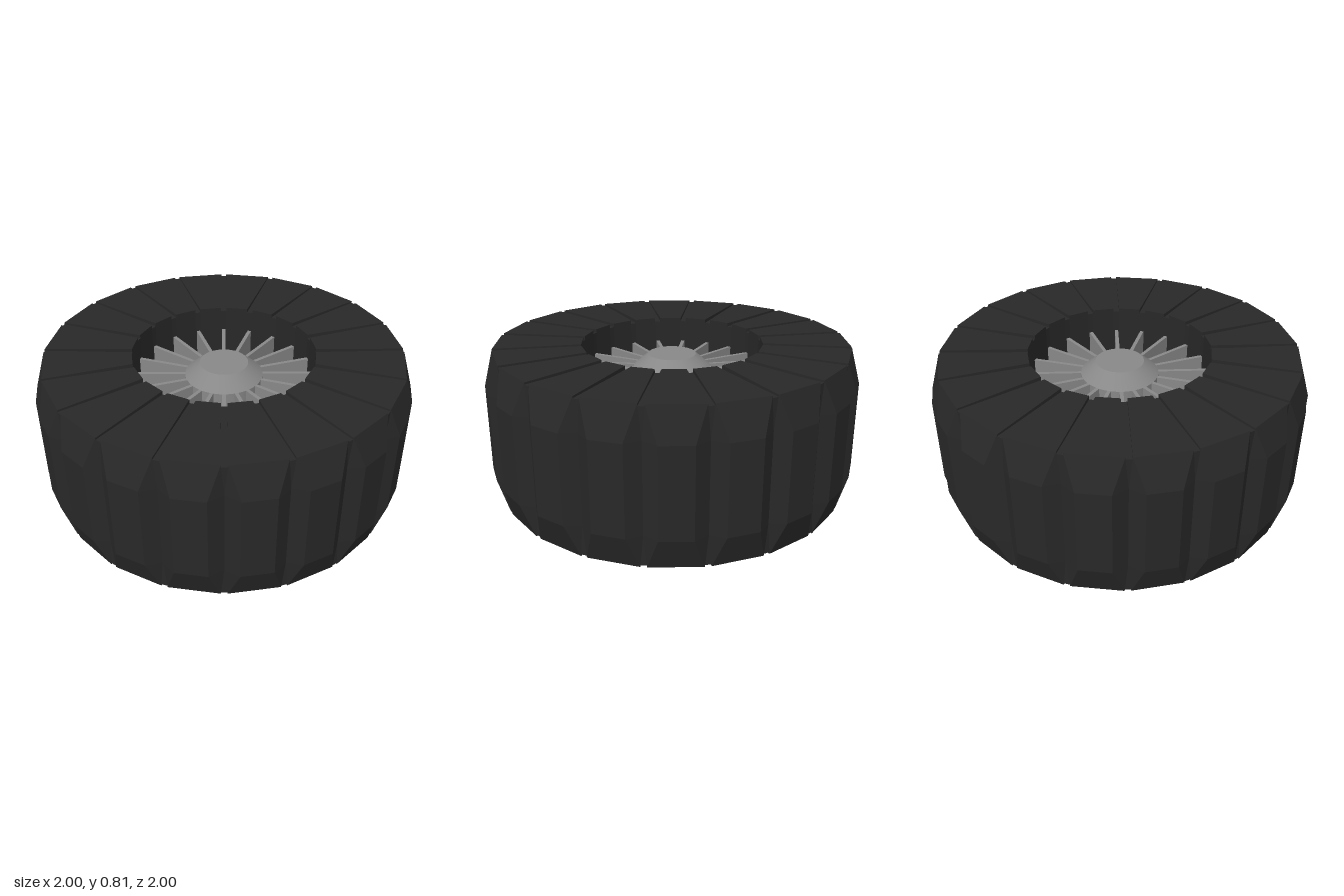
import * as THREE from 'three';
import { toCreasedNormals } from 'three/addons/utils/BufferGeometryUtils.js';

const COUNT = 20, STEP = (Math.PI * 2) / COUNT, H = 0.81;
const INNER = 0.49, RIM = 0.955, SHOULDER = 0.17;

// Point at radius r on the ray of angle a, shifted sideways by o
const polar = (a, r, o, y) => new THREE.Vector3(
  r * Math.sin(a) + o * Math.cos(a), y, r * Math.cos(a) - o * Math.sin(a));

// Cross-section loop: inner top, rim top, shoulder top, and the same mirrored below
function section(a, edge, inDepth, rimDepth, r, o) {
  const half = [[INNER, edge, inDepth], [RIM, edge, rimDepth], [r, o, SHOULDER]];
  const top = half.map(([rr, oo, d]) => polar(a, rr, oo, H - d));
  const bottom = half.map(([rr, oo, d]) => polar(a, rr, oo, d)).reverse();
  return [...top, ...bottom];
}

// Tyre: each pitch has a sidewall groove, a V-shaped tread notch and a raised block
function tyreGeometry() {
  const g = 0.016, stations = [];
  for (let i = 0; i < COUNT; i++) {
    const a = i * STEP;
    stations.push(
      section(a, -g, 0, 0, 1, -0.075),
      section(a, -g, 0, 0, RIM, 0),
      section(a, -g, 0.02, 0.01, RIM, 0),
      section(a, g, 0.02, 0.01, RIM, 0),
      section(a, g, 0, 0, RIM, 0),
      section(a, g, 0, 0, 1, 0.075));
  }
  const pos = [], tri = new THREE.Triangle();
  const add = (a, b, c) => {
    if (tri.set(a, b, c).getArea() > 1e-7) for (const p of [a, b, c]) pos.push(p.x, p.y, p.z);
  };
  stations.forEach((s, i) => {
    const t = stations[(i + 1) % stations.length];
    s.forEach((p, j) => {
      const k = (j + 1) % s.length;
      add(p, s[k], t[k]);
      add(p, t[k], t[j]);
    });
  });
  const geo = new THREE.BufferGeometry();
  geo.setAttribute('position', new THREE.Float32BufferAttribute(pos, 3));
  geo.computeVertexNormals();
  return geo;
}

export function createModel() {
  const model = new THREE.Group();
  model.name = 'wheel';
  const rubber = new THREE.MeshStandardMaterial({ color: 0x282828 });
  const metal = new THREE.MeshStandardMaterial({ color: 0x888888 });

  const tyre = new THREE.Mesh(tyreGeometry(), rubber);
  tyre.name = 'tyre';
  model.add(tyre);

  // Hub: drum with a tapered cap at each end
  const profile = [[0, 0.07], [0.13, 0.07], [0.21, 0.14], [0.21, 0.67], [0.13, 0.74], [0, 0.74]]
    .map(([x, y]) => new THREE.Vector2(x, y));
  const hub = new THREE.Mesh(toCreasedNormals(new THREE.LatheGeometry(profile, 48), 0.5), metal);
  hub.name = 'hub';
  model.add(hub);

  // Spokes: thin upright blades from hub to tyre
  const spokes = new THREE.Group();
  spokes.name = 'spokes';
  const blade = new THREE.BoxGeometry(0.02, 0.53, 0.3).translate(0, H / 2, 0.345);
  for (let i = 0; i < COUNT; i++) {
    const spoke = new THREE.Mesh(blade, metal);
    spoke.name = 'spoke';
    spoke.rotation.y = i * STEP;
    spokes.add(spoke);
  }
  model.add(spokes);
  return model;
}
